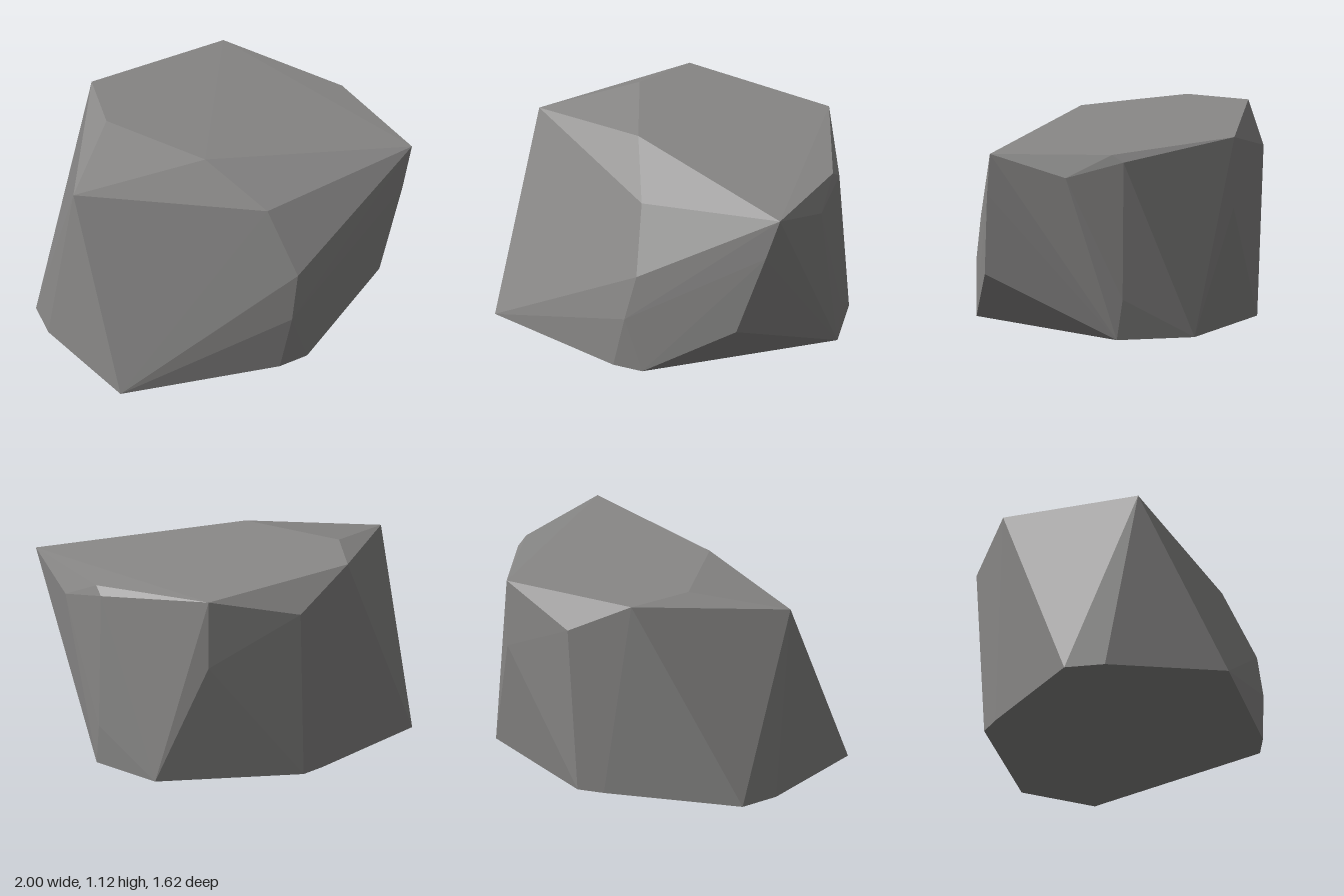
import * as THREE from 'three';
import { ConvexGeometry } from 'three/addons/geometries/ConvexGeometry.js';

export function createModel() {
  const group = new THREE.Group();
  group.name = 'boulder';
  const stone = new THREE.MeshStandardMaterial({ color: 0x888786, flatShading: true });
  stone.name = 'grey stone';

  // Footprint on the ground, as [x, z]
  const base = [
    [-0.68, 0.81], [0.2, 0.71], [0.36, 0.64], [0.72, -0.41], [0.43, -0.725],
    [-0.37, -0.67], [-0.48, -0.57], [-1, -0.01], [-0.97, 0.21],
  ].map(([x, z]) => [x, 0, z]);

  // Chipped corners of the sides
  const sides = [
    [0.27, 0.29, 0.69], [0.31, 0.54, 0.64], [0.17, 0.88, 0.49],
    [0.8, 0.31, 0.35], [0.94, 0.77, 0.26], [0.87, 0.88, -0.18],
    [0.7, 0.96, -0.44], [0.71, 0.22, -0.44], [0.15, 0.67, -0.81],
    [-0.35, 0.93, -0.72],
  ];

  // Rim of the sloping top
  const top = [
    [-0.86, 1.02, 0.36], [-0.13, 1.1, 0.27], [1, 1, 0.21], [0.72, 1, -0.38],
    [0.15, 1.05, -0.815], [-0.62, 1.12, -0.48], [-0.6, 1.125, -0.12],
  ];

  const points = [...base, ...sides, ...top].map((p) => new THREE.Vector3(...p));
  const rock = new THREE.Mesh(new ConvexGeometry(points), stone);
  rock.name = 'rock';
  group.add(rock);
  return group;
}
